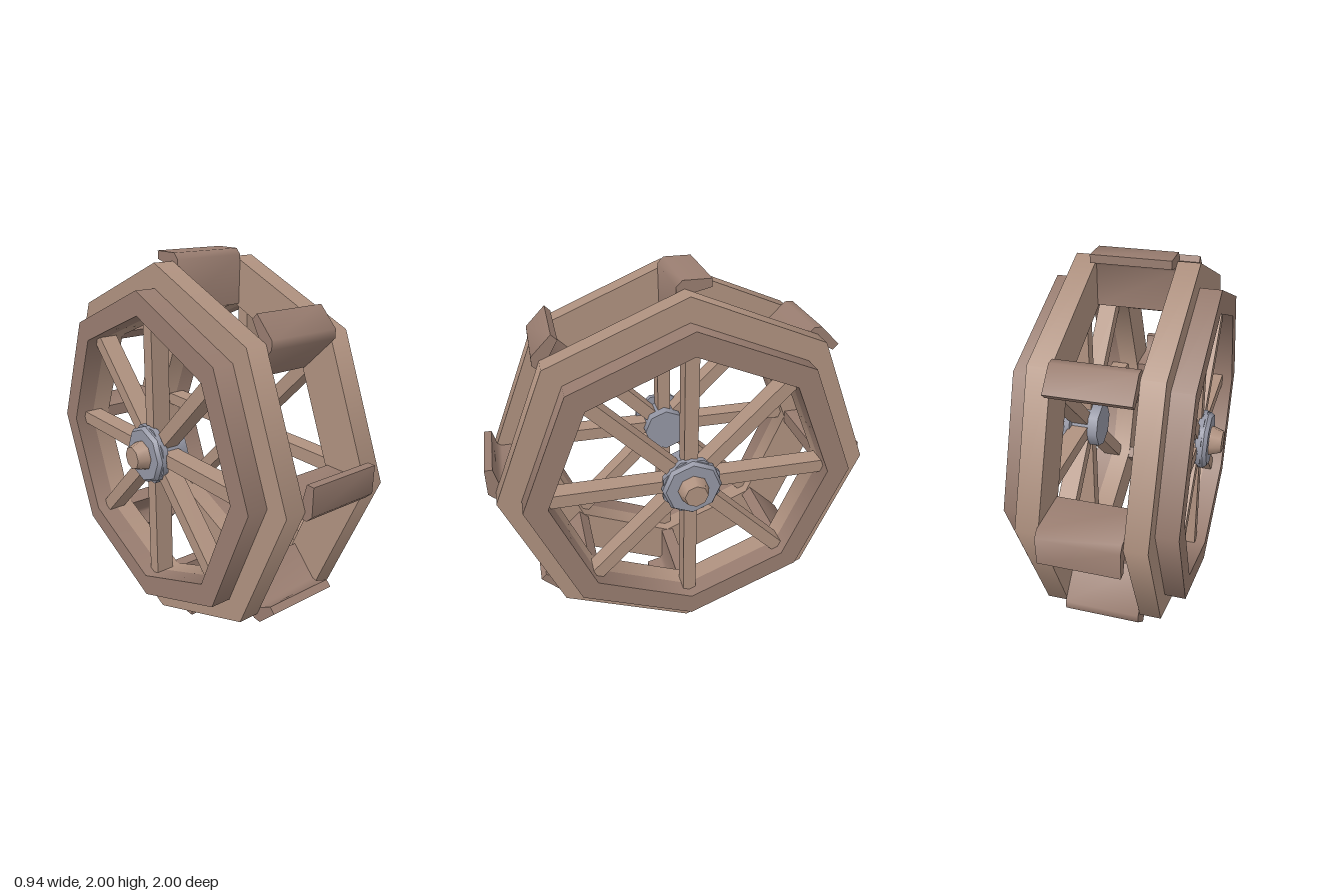
import * as THREE from 'three';
import { mergeGeometries, toCreasedNormals } from 'three/addons/utils/BufferGeometryUtils.js';

const lightWood = new THREE.MeshStandardMaterial({ color: 0xb09280 });
const darkWood = new THREE.MeshStandardMaterial({ color: 0x997d70 });
const iron = new THREE.MeshStandardMaterial({ color: 0x9597a5 });
const SIDES = 8;
const STEP = (Math.PI * 2) / SIDES;

function mesh(name, geometry, material) {
  const m = new THREE.Mesh(geometry, material);
  m.name = name;
  return m;
}

// Eight-sided turned part around the x axis: points are [radius, x].
// Each profile segment is its own band, so shading is smooth around and sharp between bands.
function turned(points) {
  const bands = [];
  for (let i = 0; i < points.length - 1; i++) {
    const pair = [points[i], points[i + 1]].map(([r, x]) => new THREE.Vector2(r, x));
    bands.push(new THREE.LatheGeometry(pair, SIDES));
  }
  return mergeGeometries(bands).rotateZ(-Math.PI / 2);
}

// Octagonal rim with a rectangular section
function rim(outer, inner, x0, x1) {
  return turned([[inner, x0], [outer, x0], [outer, x1], [inner, x1], [inner, x0]]);
}

// One side wheel: stepped rim, spokes, hub and axle end
function sideWheel(name) {
  const wheel = new THREE.Group();
  wheel.name = name;
  wheel.add(mesh('outerRim', rim(0.96, 0.72, 0.195, 0.305), lightWood));
  wheel.add(mesh('steppedRim', rim(0.84, 0.72, 0.305, 0.413), darkWood));

  for (let i = 0; i < SIDES; i++) {
    const spoke = mesh('spoke', new THREE.BoxGeometry(0.1, 0.66, 0.07).translate(0.305, 0.39, 0), lightWood);
    spoke.rotation.x = i * STEP;
    wheel.add(spoke);
  }

  // Hub barrel with its front cap, and a collar turned by half a side
  wheel.add(mesh('hub', turned([
    [0, 0.2], [0.12, 0.2], [0.12, 0.35], [0.155, 0.36],
    [0.155, 0.385], [0.14, 0.405], [0, 0.405],
  ]), iron));
  const collar = mesh('hubCollar', turned([
    [0, 0.345], [0.158, 0.345], [0.158, 0.375], [0, 0.375],
  ]), iron);
  collar.rotation.x = STEP / 2;
  wheel.add(collar);

  wheel.add(mesh('axleEnd', turned([
    [0.08, 0.38], [0.08, 0.41], [0.06, 0.47], [0, 0.47],
  ]), lightWood));
  return wheel;
}

export function createModel() {
  const model = new THREE.Group();
  model.name = 'waterWheel';
  const body = new THREE.Group();
  body.name = 'wheelBody';
  body.position.y = 1;
  model.add(body);

  // Pair of side wheels
  const left = sideWheel('leftWheel');
  const right = sideWheel('rightWheel');
  right.rotation.y = Math.PI;
  body.add(left, right);

  // Hooked paddles between the wheels
  const hook = new THREE.Shape([
    [-0.035, 0.72], [0.035, 0.72], [0.035, 0.92], [0.05, 0.94], [0.13, 0.96],
    [0.13, 1], [-0.01, 1], [-0.04, 0.97],
  ].map(([t, r]) => new THREE.Vector2(t, r)));
  const board = new THREE.ExtrudeGeometry(hook, { depth: 0.39, bevelEnabled: false })
    .translate(0, 0, -0.195).rotateY(Math.PI / 2);
  const paddleGeometry = toCreasedNormals(board, 0.9);
  for (let i = 0; i < SIDES; i++) {
    const paddle = mesh('paddle', paddleGeometry, darkWood);
    paddle.rotation.x = i * STEP;
    body.add(paddle);
  }
  return model;
}
